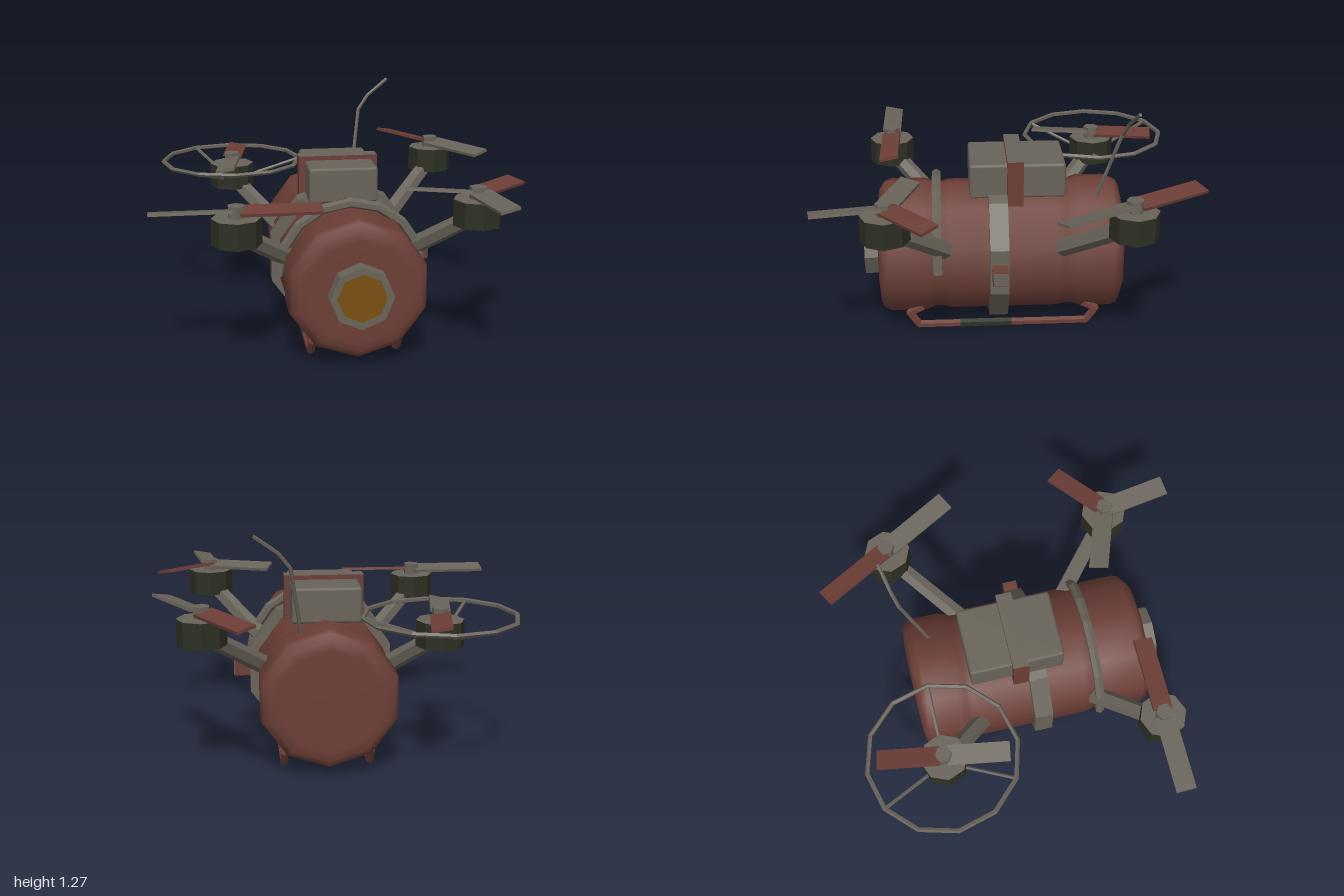
import * as THREE from 'three';
import { RoundedBoxGeometry } from 'three/addons/geometries/RoundedBoxGeometry.js';

const mat = (name, color) => {
  const m = new THREE.MeshStandardMaterial({ color });
  m.name = name;
  return m;
};
const V = (x, y, z) => new THREE.Vector3(x, y, z);
const CX = 0.055, CY = 0.415; // axis of the tank

export function createModel() {
  const root = new THREE.Group();
  root.name = 'tankDrone';
  const red = mat('rustRed', 0x6c3e36);
  const grey = mat('wornGrey', 0x69645a);
  const dark = mat('darkOlive', 0x2d3024);
  const amber = mat('amberLens', 0x7a5010);

  const flat = (g) => {
    const f = g.index ? g.toNonIndexed() : g;
    f.computeVertexNormals();
    return f;
  };
  const add = (parent, name, geo, material, x = 0, y = 0, z = 0) => {
    const m = new THREE.Mesh(geo, material);
    m.name = name;
    m.position.set(x, y, z);
    parent.add(m);
    return m;
  };
  // straight faceted rod between two points
  const rod = (parent, name, a, b, r0, r1, material, sides = 6) => {
    const d = b.clone().sub(a);
    const m = add(parent, name, flat(new THREE.CylinderGeometry(r1, r0, d.length(), sides)), material);
    m.position.copy(a).addScaledVector(d, 0.5);
    m.quaternion.setFromUnitVectors(V(0, 1, 0), d.normalize());
    return m;
  };
  // chain of rods with joints
  const chain = (parent, name, pts, r, material, sides = 6) => {
    for (let i = 0; i < pts.length - 1; i++) {
      rod(parent, name, pts[i], pts[i + 1], r, r, material, sides);
      if (i) add(parent, name + 'Joint', flat(new THREE.IcosahedronGeometry(r, 0)), material, ...pts[i].toArray());
    }
  };
  // lathe turned so that its axis runs along z
  const latheZ = (profile, segs, start = 0, len = Math.PI * 2) =>
    new THREE.LatheGeometry(profile.map(([r, z]) => new THREE.Vector2(r, z)), segs, start, len).rotateX(Math.PI / 2);

  // tank body with rounded ends and two shallow grooves
  add(root, 'tankBody', latheZ([
    [0, -0.62], [0.27, -0.62], [0.32, -0.615], [0.355, -0.595], [0.37, -0.56],
    [0.37, -0.40], [0.353, -0.35], [0.353, -0.31], [0.362, -0.27],
    [0.362, 0.31], [0.35, 0.35], [0.35, 0.39], [0.37, 0.44],
    [0.37, 0.63], [0.355, 0.665], [0.32, 0.685], [0.27, 0.69], [0, 0.69],
  ], 10), red, CX, CY, 0);

  // strap around the middle: grey sides, red underside
  const band = [[0.355, 0], [0.41, 0], [0.41, 0.1], [0.355, 0.1], [0.355, 0]];
  const step = Math.PI / 5;
  add(root, 'bodyStrap', flat(latheZ(band, 8, step, step * 8)), grey, CX, CY, 0);
  add(root, 'bodyStrapUnderside', flat(latheZ(band, 2, -step, step * 2)), red, CX, CY, 0);
  add(root, 'buckle', new THREE.BoxGeometry(0.1, 0.08, 0.08), red, 0.482, 0.42, 0.05);
  add(root, 'bucklePlate', new THREE.BoxGeometry(0.006, 0.07, 0.075), grey, 0.533, 0.42, 0.05);

  // pipe arching over the front groove
  add(root, 'archPipe', flat(new THREE.TorusGeometry(0.38, 0.027, 6, 8, Math.PI)), grey, CX, CY, 0.375);

  // front eye: octagonal rim and recessed lens
  add(root, 'eyeRim', flat(latheZ([[0.127, 0.68], [0.163, 0.68], [0.163, 0.77], [0.127, 0.77], [0.127, 0.68]], 8)), grey, CX, 0.41, 0);
  add(root, 'eyeLens', flat(new THREE.CylinderGeometry(0.13, 0.13, 0.07, 10).rotateX(Math.PI / 2)), amber, CX, 0.41, 0.73);

  // battery pack and its holding strap
  add(root, 'batteryPack', new RoundedBoxGeometry(0.37, 0.19, 0.51, 1, 0.015), grey, 0.045, 0.84, -0.055);
  add(root, 'batteryStrap', new THREE.BoxGeometry(0.43, 0.255, 0.085),
    [red, red, grey, red, red, red], 0.043, 0.832, -0.042);

  // landing skids with hooked ends
  for (const x of [-0.17, 0.285]) {
    const skid = new THREE.Group();
    skid.name = 'skid';
    root.add(skid);
    chain(skid, 'skidRail', [V(x, 0.14, 0.46), V(x, 0.105, 0.535), V(x, 0.033, 0.485),
      V(x, 0.033, -0.43), V(x, 0.105, -0.48), V(x, 0.14, -0.41)], 0.022, red);
    rod(skid, 'skidGrip', V(x, 0.033, 0.26), V(x, 0.033, -0.02), 0.024, 0.024, dark);
  }

  // antenna
  chain(root, 'antenna', [V(0.19, 0.72, -0.475), V(0.25, 1.1, -0.595),
    V(0.31, 1.18, -0.62), V(0.43, 1.27, -0.65)], 0.01, grey, 5);

  // rotors: motor position, arm root and blades [tip dx, tip dz, material]
  const rotors = [
    { name: 'frontRightRotor', p: V(-0.55, 0.745, 0.635), arm: V(-0.26, 0.5, 0.35),
      blades: [[-0.425, 0, grey], [0.425, 0, red]] },
    { name: 'frontLeftRotor', p: V(0.66, 0.795, 0.625), arm: V(0.37, 0.52, 0.33),
      blades: [[-0.345, -0.12, grey], [0.265, -0.225, red], [0.06, 0.36, grey]] },
    { name: 'backRightRotor', p: V(-0.51, 0.745, -0.535), arm: V(-0.26, 0.5, -0.28),
      blades: [[0.055, -0.34, red], [-0.055, 0.34, grey]] },
    { name: 'backLeftRotor', p: V(0.69, 0.795, -0.6), arm: V(0.37, 0.52, -0.28),
      blades: [[-0.215, -0.375, red], [0.215, 0.375, grey]] },
  ];
  for (const { name, p, arm, blades } of rotors) {
    const g = new THREE.Group();
    g.name = name;
    root.add(g);
    rod(g, 'arm', arm, V(p.x, p.y - 0.015, p.z), 0.05, 0.045, grey);
    add(g, 'motor', flatCylinder(0.125, 0.135, 8), [dark, grey, dark], p.x, p.y, p.z);
    add(g, 'hub', flat(new THREE.CylinderGeometry(0.045, 0.045, 0.065, 6)), grey, p.x, p.y + 0.097, p.z);
    for (const [dx, dz, material] of blades) {
      const len = Math.hypot(dx, dz);
      const geo = new THREE.BoxGeometry(len - 0.02, 0.016, 0.105);
      geo.rotateX(0.2).translate(len / 2 + 0.01, 0, 0);
      const b = add(g, 'blade', geo, material, p.x, p.y + 0.1, p.z);
      b.rotation.y = Math.atan2(-dz, dx);
    }
  }

  // guard hoop around the back right rotor, with three spokes
  const guard = new THREE.Group();
  guard.name = 'rotorGuard';
  root.add(guard);
  add(guard, 'guardHoop', flat(new THREE.TorusGeometry(0.397, 0.013, 5, 12).rotateX(Math.PI / 2)), grey, -0.51, 0.83, -0.54);
  for (let i = 0; i < 3; i++) {
    const a = i * Math.PI * 2 / 3, c = Math.cos(a), s = Math.sin(a);
    rod(guard, 'guardSpoke', V(-0.51 + 0.1 * c, 0.735, -0.54 + 0.1 * s),
      V(-0.51 + 0.395 * c, 0.828, -0.54 + 0.395 * s), 0.01, 0.01, grey, 5);
  }
  return root;
}

// cylinder with flat sides that keeps its side, top and bottom groups
function flatCylinder(r, h, sides) {
  const src = new THREE.CylinderGeometry(r, r, h, sides);
  const g = src.toNonIndexed();
  g.clearGroups();
  for (const { start, count, materialIndex } of src.groups) g.addGroup(start, count, materialIndex);
  g.computeVertexNormals();
  return g;
}
